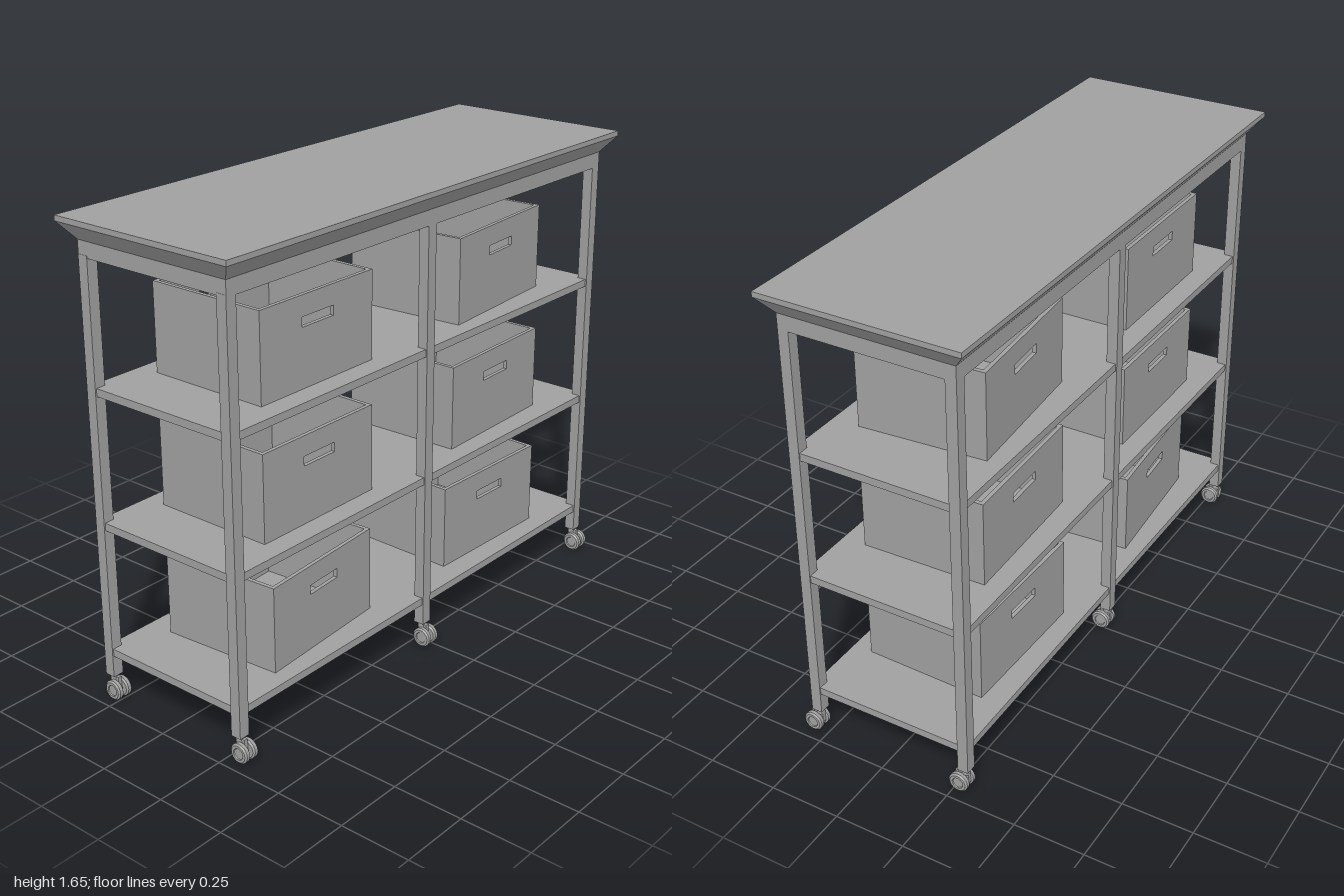
import * as THREE from 'three';

const grey = new THREE.MeshStandardMaterial({ color: 0xa0a0a0 });
grey.name = 'plain grey';

function add(parent, name, geometry, x = 0, y = 0, z = 0) {
  const mesh = new THREE.Mesh(geometry, grey);
  mesh.name = name;
  mesh.position.set(x, y, z);
  parent.add(mesh);
  return mesh;
}

// Box given by its bottom and top heights
function slab(parent, name, w, d, y0, y1, x = 0, z = 0) {
  return add(parent, name, new THREE.BoxGeometry(w, y1 - y0, d), x, (y0 + y1) / 2, z);
}

// Box whose underside is narrower than its top
function taperedSlab(w, d, bottomW, bottomD, h) {
  const geo = new THREE.BoxGeometry(w, h, d);
  const p = geo.attributes.position;
  for (let i = 0; i < p.count; i++) {
    if (p.getY(i) < 0) {
      p.setX(i, Math.sign(p.getX(i)) * bottomW / 2);
      p.setZ(i, Math.sign(p.getZ(i)) * bottomD / 2);
    }
  }
  geo.computeVertexNormals();
  return geo;
}

// Open storage box with a handle slot in both long walls
function storageBox() {
  const W = 0.446, D = 0.52, H = 0.303, T = 0.014;
  const box = new THREE.Group();
  box.name = 'storageBox';

  const wall = new THREE.Shape([
    new THREE.Vector2(-D / 2, 0), new THREE.Vector2(D / 2, 0),
    new THREE.Vector2(D / 2, H), new THREE.Vector2(-D / 2, H),
  ]);
  const [sw, s0, s1] = [0.0725, 0.2, 0.233];
  wall.holes.push(new THREE.Path([
    new THREE.Vector2(-sw, s0), new THREE.Vector2(-sw, s1),
    new THREE.Vector2(sw, s1), new THREE.Vector2(sw, s0),
  ]));
  const wallGeo = new THREE.ExtrudeGeometry(wall, { depth: T, bevelEnabled: false });
  wallGeo.rotateY(Math.PI / 2);
  add(box, 'handleWall', wallGeo, W / 2 - T);
  add(box, 'handleWall', wallGeo, -W / 2);

  for (const s of [-1, 1]) {
    slab(box, 'endWall', W - 2 * T, T, 0, H, 0, s * (D - T) / 2);
  }
  slab(box, 'boxFloor', W - 2 * T, D - 2 * T, 0, T);
  return box;
}

// Twin-wheel caster, axle along z
function caster() {
  const group = new THREE.Group();
  group.name = 'caster';
  const profile = [[0, -0.011], [0.029, -0.011], [0.035, -0.006], [0.035, 0.006],
    [0.029, 0.011], [0.02, 0.011], [0.018, 0.008], [0, 0.008]]
    .map(([r, h]) => new THREE.Vector2(r, h));
  const wheelGeo = new THREE.LatheGeometry(profile, 20).toNonIndexed();
  wheelGeo.computeVertexNormals();
  wheelGeo.rotateX(Math.PI / 2);
  for (const s of [-1, 1]) {
    const wheel = add(group, 'wheel', wheelGeo, 0, 0.035, s * 0.018);
    if (s < 0) wheel.rotation.y = Math.PI;
  }
  const axle = new THREE.CylinderGeometry(0.012, 0.012, 0.05, 12).rotateX(Math.PI / 2);
  add(group, 'axle', axle, 0, 0.035, 0);
  slab(group, 'casterBody', 0.036, 0.014, 0.03, 0.078, -0.01);
  add(group, 'stem', new THREE.CylinderGeometry(0.014, 0.014, 0.03, 12), -0.016, 0.08, 0);
  return group;
}

export function createModel() {
  const model = new THREE.Group();
  model.name = 'rollingShelfUnit';

  // Worktop with sloped moulding and apron
  slab(model, 'worktop', 0.704, 2, 1.632, 1.65);
  add(model, 'moulding', taperedSlab(0.704, 2, 0.61, 1.914, 0.057), 0, 1.6035, 0);
  slab(model, 'apron', 0.61, 1.914, 1.522, 1.575);

  // Posts on casters
  for (const x of [-0.286, 0.286]) {
    for (const z of [0.938, 0.018, -0.937]) {
      slab(model, 'post', 0.038, 0.04, 0.085, 1.53, x, z);
      const wheelSet = caster();
      wheelSet.position.set(x + 0.016, 0, z);
      model.add(wheelSet);
    }
  }

  // Shelves, each with two boxes: [z, turn]
  const shelves = [
    { top: 0.188, boxes: [[0.48, 0.07], [-0.462, -0.025]] },
    { top: 0.647, boxes: [[0.48, 0], [-0.464, 0.028]] },
    { top: 1.106, boxes: [[0.48, 0], [-0.463, 0.072]] },
  ];
  for (const { top, boxes } of shelves) {
    slab(model, 'shelf', 0.6, 1.906, top - 0.027, top);
    for (const [z, turn] of boxes) {
      const box = storageBox();
      box.position.set(0, top, z);
      box.rotation.y = turn;
      model.add(box);
    }
  }
  return model;
}
